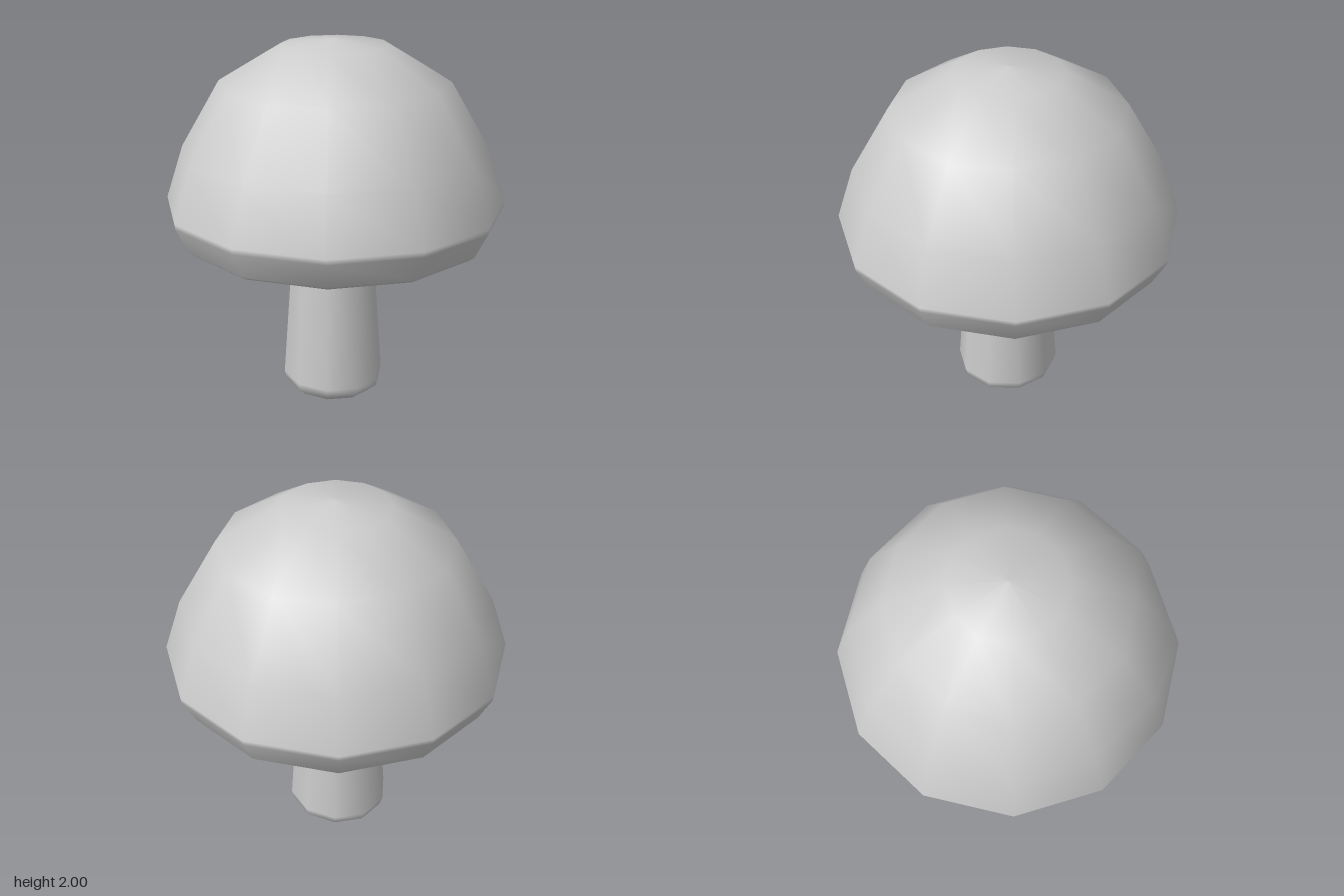
import * as THREE from 'three';

// Smooth-shaded turned shape from [radius, height] pairs, listed bottom to top
function turned(name, profile, sides, material) {
  const points = profile.map(([r, y]) => new THREE.Vector2(r, y));
  const mesh = new THREE.Mesh(new THREE.LatheGeometry(points, sides), material);
  mesh.name = name;
  return mesh;
}

export function createModel() {
  const group = new THREE.Group();
  group.name = 'mushroom';
  const material = new THREE.MeshStandardMaterial({ color: 0xcccccc, side: THREE.DoubleSide });

  // Hollow cap: underside with an open ring around the stem, bevelled rim, dome
  group.add(turned('cap', [
    [0.36, 0.94], [0.815, 0.928], [0.845, 0.95], [0.915, 1.09], [0.92, 1.12],
    [0.825, 1.41], [0.615, 1.77], [0.29, 1.965], [0, 2],
  ], 12, material));

  // Tapered stem with a rounded foot, slightly narrower from side to side
  const stem = turned('stem', [
    [0, 0], [0.18, 0.003], [0.235, 0.018], [0.275, 0.05], [0.29, 0.1],
    [0.228, 0.93], [0.21, 1.2], [0, 1.22],
  ], 10, material);
  stem.scale.x = 0.96;
  stem.position.x = -0.012;
  group.add(stem);

  return group;
}
